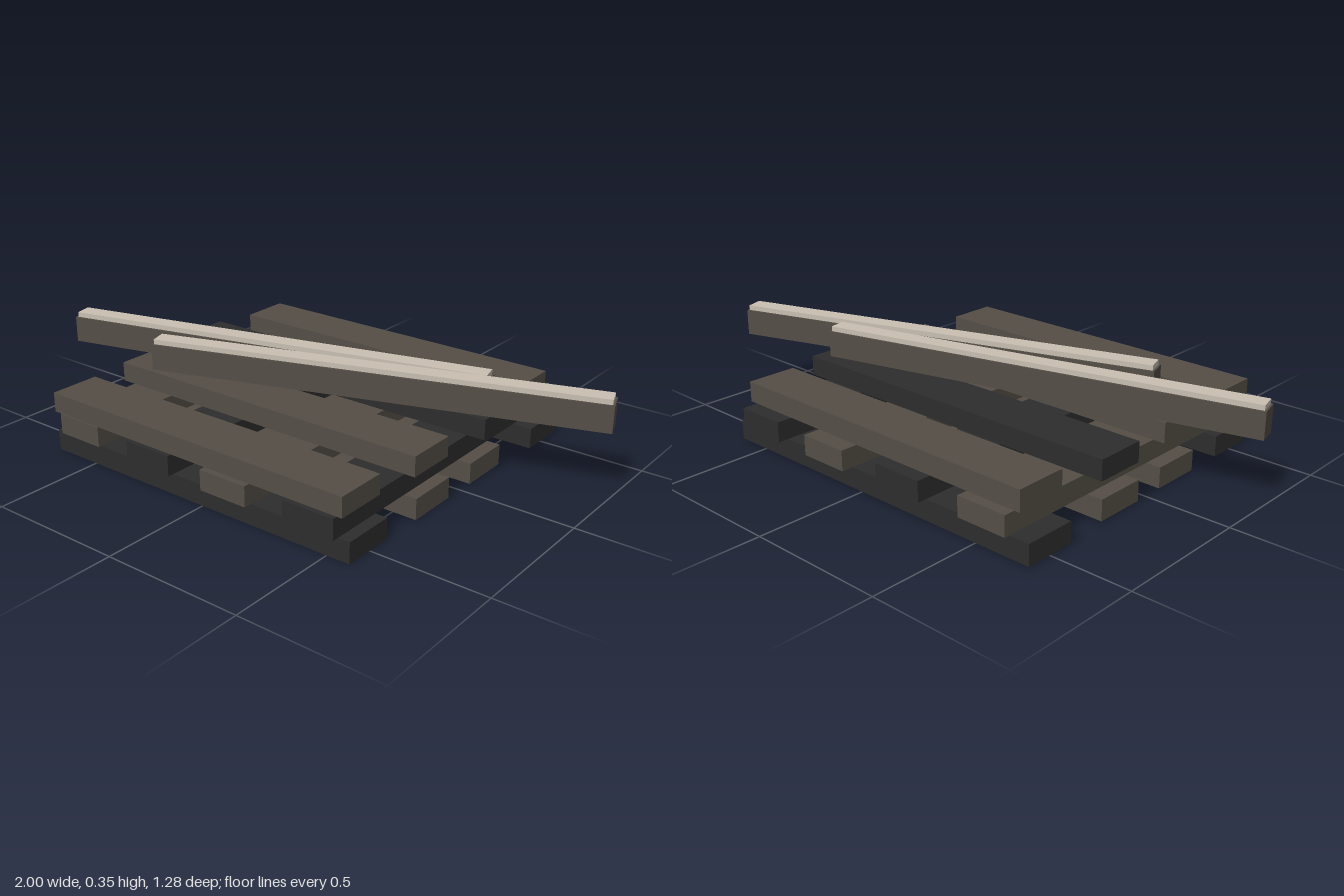
import * as THREE from 'three';

export function createModel() {
  const model = new THREE.Group();
  const mat = (name, color) => {
    const m = new THREE.MeshStandardMaterial({ color });
    m.name = name;
    return m;
  };
  const dark = mat('charcoal wood', 0x2d2d2d);
  const brown = mat('weathered brown', 0x544e46);
  const cream = mat('pale cream', 0xc9bfb2);

  // Box given by its min and max on each axis
  const box = (name, material, [x0, x1], [y0, y1], [z0, z1], parent = model) => {
    const mesh = new THREE.Mesh(new THREE.BoxGeometry(x1 - x0, y1 - y0, z1 - z0), material);
    mesh.position.set((x0 + x1) / 2, (y0 + y1) / 2, (z0 + z1) / 2);
    mesh.name = name;
    parent.add(mesh);
  };

  // Bottom slats, running left to right, front to back
  [
    [dark, [-0.685, 0.585], [0.412, 0.6]],
    [brown, [-0.69, 0.59], [0.073, 0.262]],
    [brown, [-0.695, 0.595], [-0.238, -0.05]],
    [dark, [-0.715, 0.62], [-0.6, -0.412]],
  ].forEach(([m, x, z], i) => box('bottomSlat' + (i + 1), m, x, [i * 0.002, 0.074 + i * 0.002], z));

  // Middle slats, running front to back
  [
    [brown, [-0.642, -0.456], [-0.622, 0.62]],
    [dark, [-0.304, -0.116], [-0.635, 0.632]],
    [brown, [0.03, 0.215], [-0.645, 0.638]],
    [dark, [0.36, 0.549], [-0.64, 0.634]],
  ].forEach(([m, x, z], i) => box('middleSlat' + (i + 1), m, x, [0.081, 0.153], z));

  // Top slats, running left to right, front to back
  [
    [brown, [-0.67, 0.57], [0.432, 0.619]],
    [brown, [-0.69, 0.59], [0.088, 0.276]],
    [dark, [-0.715, 0.62], [-0.272, -0.086]],
    [brown, [-0.67, 0.57], [-0.59, -0.403]],
  ].forEach(([m, x, z], i) => box('topSlat' + (i + 1), m, x, [0.155 + i * 0.001, 0.225 + i * 0.002], z));

  // Two loose bars laid diagonally, each with a slightly inset pale cap
  [
    ['rearBar', -0.21, 0.234, 0.001, 14.3],
    ['frontBar', 0.222, 0.239, -0.005, 18.1],
  ].forEach(([name, x, y, z, degrees]) => {
    const bar = new THREE.Group();
    bar.name = name;
    bar.position.set(x, y, z);
    bar.rotation.y = THREE.MathUtils.degToRad(degrees);
    box(name + 'Body', brown, [-0.805, 0.805], [0, 0.095], [-0.039, 0.039], bar);
    box(name + 'Cap', cream, [-0.798, 0.798], [0.095, 0.113], [-0.032, 0.032], bar);
    model.add(bar);
  });

  return model;
}
